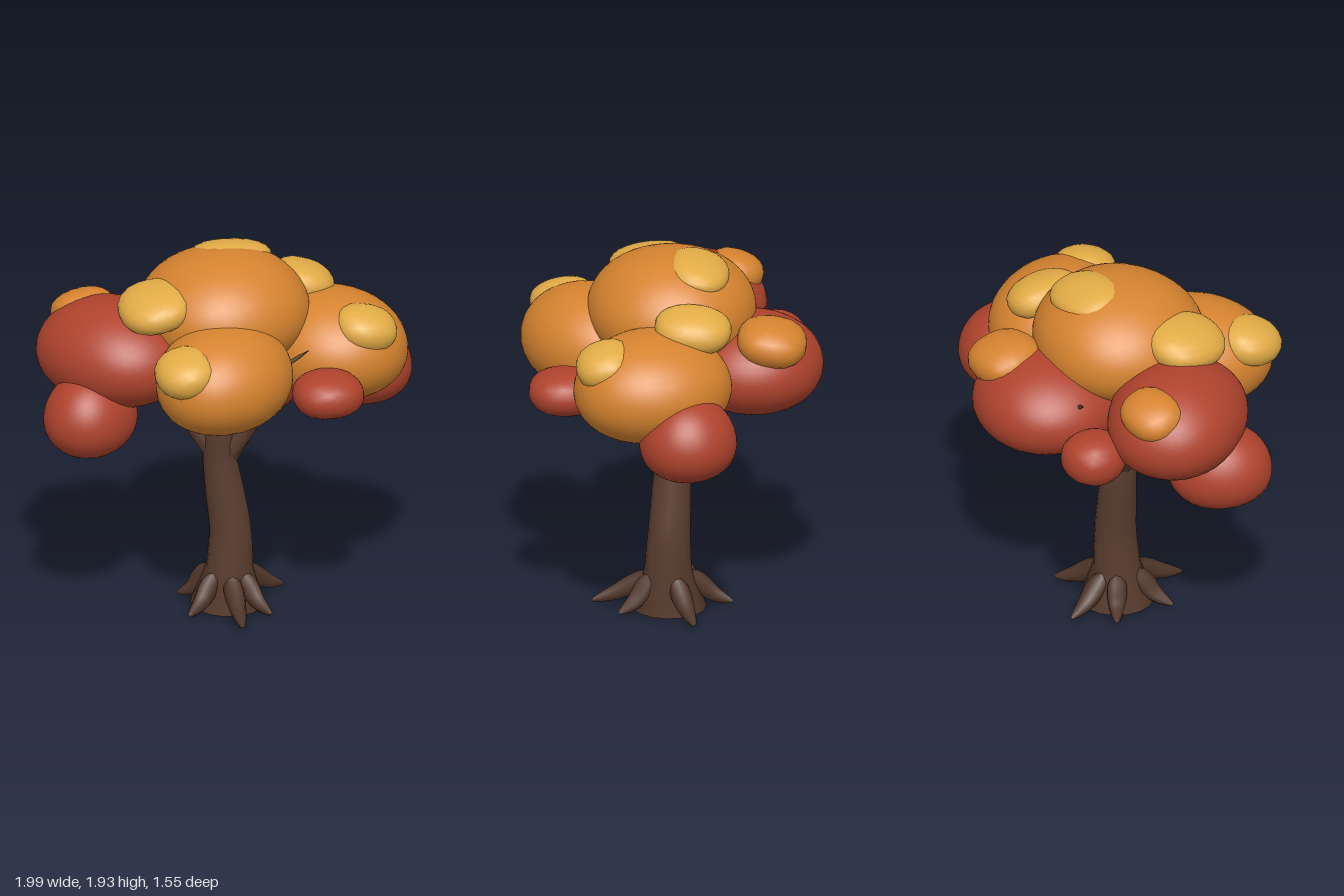
import * as THREE from 'three';
import { mergeVertices } from 'three/addons/utils/BufferGeometryUtils.js';

const mat = (name, color) => Object.assign(new THREE.MeshStandardMaterial({ color }), { name });

// Tube along points whose radius follows a list of evenly spaced values
function taperedTube(points, radii, steps, sides) {
  const curve = new THREE.CatmullRomCurve3(points.map(p => new THREE.Vector3(...p)));
  const geo = new THREE.TubeGeometry(curve, steps, 1, sides);
  const pos = geo.attributes.position;
  const v = new THREE.Vector3();
  for (let i = 0; i <= steps; i++) {
    const centre = curve.getPointAt(i / steps);
    const f = (i / steps) * (radii.length - 1);
    const k = Math.min(Math.floor(f), radii.length - 2);
    const r = THREE.MathUtils.lerp(radii[k], radii[k + 1], f - k);
    for (let j = 0; j <= sides; j++) {
      const n = i * (sides + 1) + j;
      v.fromBufferAttribute(pos, n).sub(centre).multiplyScalar(r).add(centre);
      pos.setXYZ(n, v.x, Math.max(v.y, 0), v.z);
    }
  }
  return geo;
}

// Soft, lumpy, slightly boxy ellipsoid; taper narrows the top and widens the bottom
function leafBlob(radius, detail, seed, power, taper) {
  let geo = new THREE.IcosahedronGeometry(1, detail);
  geo.deleteAttribute('normal');
  geo.deleteAttribute('uv');
  geo = mergeVertices(geo, 1e-4);
  const pos = geo.attributes.position;
  for (let i = 0; i < pos.count; i++) {
    const x = pos.getX(i), y = pos.getY(i), z = pos.getZ(i);
    const box = (Math.abs(x) ** power + Math.abs(y) ** power + Math.abs(z) ** power) ** (-1 / power);
    const lump = box * (1 + 0.015 * Math.sin(3 * x + seed) * Math.cos(3 * z + 2 * seed));
    const side = lump * (1 - taper * y);
    pos.setXYZ(i, x * side * radius[0], y * lump * radius[1], z * side * radius[2]);
  }
  geo.computeVertexNormals();
  return geo;
}

export function createModel() {
  const tree = new THREE.Group();
  tree.name = 'autumnTree';
  const bark = mat('bark', 0x5c3e30);
  const rootBark = mat('rootBark', 0x4f3529);
  const red = mat('redLeaves', 0xaf432d);
  const orange = mat('orangeLeaves', 0xd5832f);
  const yellow = mat('yellowLeaves', 0xe2ab46);

  const add = (name, geo, material, parent = tree) => {
    const mesh = new THREE.Mesh(geo, material);
    mesh.name = name;
    parent.add(mesh);
    return mesh;
  };
  const addGroup = name => {
    const g = new THREE.Group();
    g.name = name;
    tree.add(g);
    return g;
  };

  // Trunk with flared foot and a closed base
  add('trunk', taperedTube(
    [[0, 0, 0.01], [0.01, 0.2, 0.015], [0.015, 0.4, 0.01], [-0.01, 0.6, 0], [-0.037, 0.8, -0.005], [-0.05, 1, 0.01], [-0.05, 1.25, 0.01]],
    [0.19, 0.12, 0.107, 0.1, 0.085, 0.07, 0.055], 24, 16), bark);
  const base = add('trunkBase', new THREE.CircleGeometry(0.19, 16), bark);
  base.rotation.x = Math.PI / 2;
  base.position.set(0, 0.001, 0.01);

  // Branches reaching up into the crown
  const branches = addGroup('branches');
  [
    [[-0.02, 0.8, 0.01], [0.1, 0.99, 0.07], [0.17, 1.2, 0.18], [0.2, 1.38, 0.3]],
    [[-0.04, 0.8, 0], [-0.19, 1.03, -0.06], [-0.25, 1.2, -0.17], [-0.22, 1.4, -0.36]],
    [[-0.02, 0.77, 0.01], [0.09, 0.93, 0.01], [0.2, 1.09, -0.02], [0.32, 1.3, -0.08]],
  ].forEach(path => add('branch', taperedTube(path, [0.055, 0.048, 0.034, 0.014], 16, 8), bark, branches));

  // Bare twigs peeking out between the leaf masses
  [
    [[0.14, 1.36, 0.33], [0.23, 1.425, 0.358], [0.32, 1.49, 0.385]],
    [[-0.18, 1.42, -0.42], [-0.26, 1.465, -0.447], [-0.33, 1.51, -0.47]],
  ].forEach(path => add('twig', taperedTube(path, [0.014, 0.011, 0.011, 0.001], 16, 8), bark, branches));

  // Roots: floor position of each tip
  const roots = addGroup('roots');
  [[0.33, -0.14], [0.16, 0.25], [-0.03, 0.39], [-0.25, 0.16], [-0.21, -0.17], [-0.03, -0.32]].forEach(([x, z]) => {
    const a = Math.atan2(z, x), reach = Math.hypot(x, z);
    const at = (r, y) => [Math.cos(a) * r, y, Math.sin(a) * r + 0.01];
    add('root', taperedTube([at(0.08, 0.19), at(0.13, 0.145), at(reach * 0.68, 0.065), at(reach, 0.015)],
      [0.016, 0.052, 0.054, 0.045, 0.032, 0.01], 12, 8), rootBark, roots);
  });

  // Large leaf masses: material, centre, radii, taper, turn about y
  const crown = addGroup('crown');
  [
    [orange, [-0.02, 1.625, 0], [0.44, 0.3, 0.43], 0.07, 0],
    [orange, [-0.13, 1.405, 0.4], [0.33, 0.275, 0.4], 0.05, -0.75],
    [orange, [0.53, 1.4, 0.08], [0.365, 0.28, 0.405], 0.05, 0.4],
    [red, [-0.575, 1.42, -0.06], [0.35, 0.27, 0.425], 0.05, 0.6],
    [red, [0.05, 1.36, -0.41], [0.38, 0.25, 0.365], 0.07, 0],
    [red, [0.02, 1.27, 0], [0.39, 0.24, 0.37], 0, 0],
    [red, [-0.745, 1.155, 0.08], [0.23, 0.22, 0.265], 0.1, -0.75],
    [red, [0.745, 1.2, -0.11], [0.25, 0.22, 0.245], 0.12, 0],
  ].forEach(([m, centre, radius, taper, turn], i) => {
    const mass = add('leafMass', leafBlob(radius, 7, i * 1.7, 2.06, taper), m, crown);
    mass.position.set(...centre);
    mass.rotation.y = turn;
  });

  // Small leaf tufts leaning with the masses: material, centre, radii, tilt about x and z
  const tufts = addGroup('leafTufts');
  [
    [red, [0.38, 1.305, 0.53], [0.18, 0.115, 0.18], 0, 0],
    [red, [-0.46, 1.29, -0.51], [0.16, 0.13, 0.16], 0, 0],
    [yellow, [-0.415, 1.71, 0.12], [0.185, 0.1, 0.21], 0.1, 0.22],
    [yellow, [-0.38, 1.52, 0.565], [0.155, 0.105, 0.165], 0.2, 0.2],
    [yellow, [0.643, 1.555, 0.315], [0.16, 0.1, 0.148], 0.25, -0.2],
    [yellow, [0.437, 1.67, -0.125], [0.155, 0.1, 0.195], -0.08, -0.3],
    [yellow, [0.065, 1.845, -0.14], [0.205, 0.075, 0.16], -0.22, -0.08],
    [orange, [0.25, 1.537, -0.52], [0.185, 0.11, 0.18], -0.15, -0.1],
    [orange, [-0.675, 1.57, -0.305], [0.165, 0.1, 0.145], -0.3, 0.15],
  ].forEach(([m, centre, radius, tiltX, tiltZ], i) => {
    const tuft = add('leafTuft', leafBlob(radius, 3, i * 2.3 + 1, 2.3, 0), m, tufts);
    tuft.position.set(...centre);
    tuft.rotation.set(tiltX, 0, tiltZ);
  });

  return tree;
}
